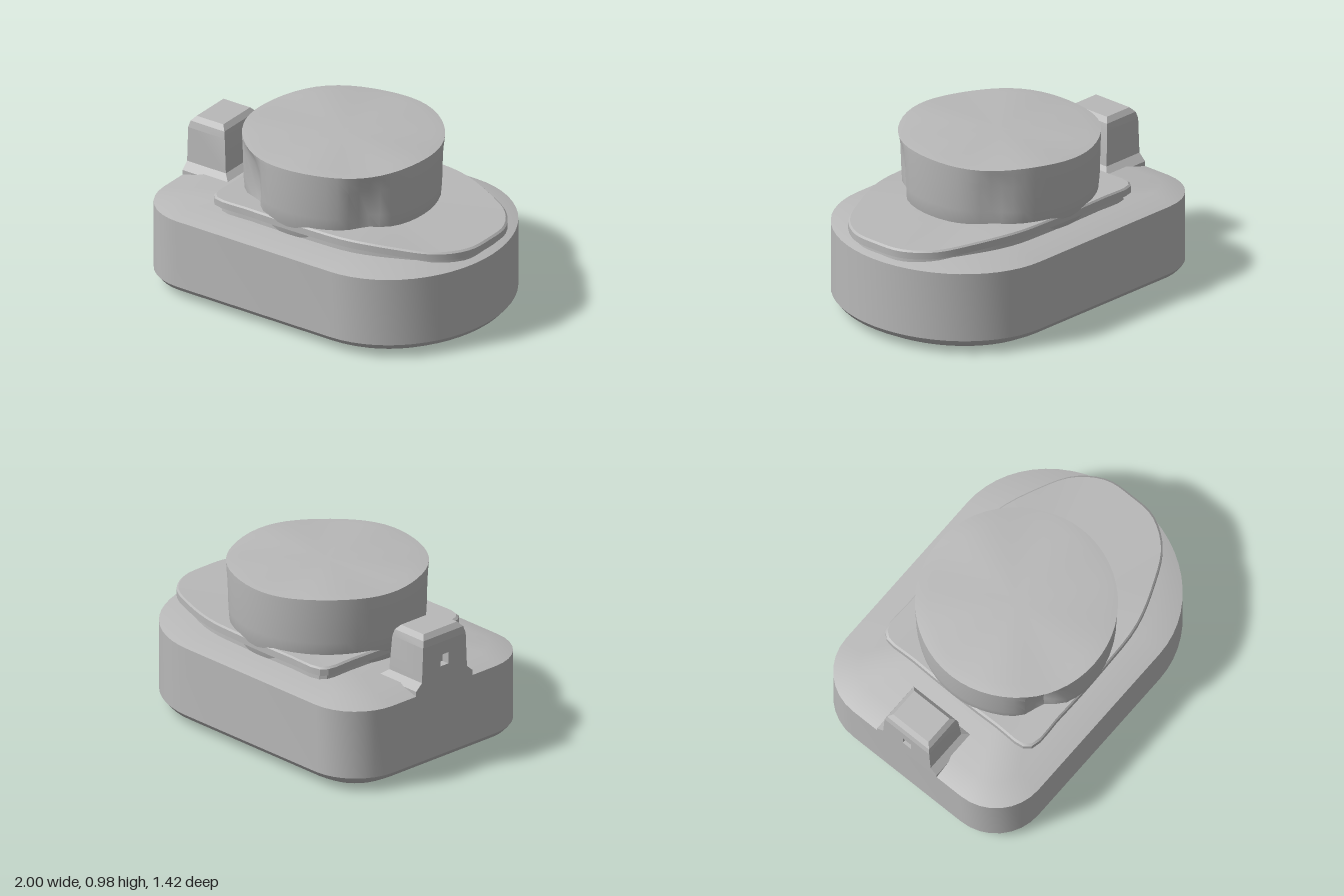
import * as THREE from 'three';
import { toCreasedNormals } from 'three/addons/utils/BufferGeometryUtils.js';

const grey = new THREE.MeshStandardMaterial({ color: 0xb8b8b8 });
grey.name = 'plain grey';

// Skin a stack of equal-length rings (each point is [x, y, z]) from bottom to top.
function loft(rings, { bottom = true, top = true, crease = 0.5 } = {}) {
  const pos = [];
  const tri = (a, b, c) => pos.push(...a, ...b, ...c);
  const centre = (r) => [0, 1, 2].map((k) => r.reduce((s, p) => s + p[k], 0) / r.length);
  const n = rings[0].length;
  const first = rings[0], last = rings[rings.length - 1];
  const cb = centre(first), ct = centre(last);
  for (let i = 0; i < n; i++) {
    const j = (i + 1) % n;
    for (let k = 0; k + 1 < rings.length; k++) {
      const a = rings[k], b = rings[k + 1];
      tri(a[i], b[i], b[j]);
      tri(a[i], b[j], a[j]);
    }
    if (bottom) tri(cb, first[i], first[j]);
    if (top) tri(ct, last[j], last[i]);
  }
  const g = new THREE.BufferGeometry();
  g.setAttribute('position', new THREE.Float32BufferAttribute(pos, 3));
  return toCreasedNormals(g, crease);
}

// Base outline: elliptical nose at +x, two rounded corners at -x.
function baseOutline(inset) {
  const pts = [];
  const arc = (cx, cz, rx, rz, from, to, n) => {
    for (let i = 0; i <= n; i++) {
      const t = from + ((to - from) * i) / n;
      pts.push([cx + rx * Math.cos(t), cz + rz * Math.sin(t)]);
    }
  };
  const q = Math.PI / 2, r = 0.31 - inset;
  arc(0.38, 0, 0.62 - inset, 0.71 - inset, -q, q, 28);
  arc(-0.69, 0.4, r, r, q, 2 * q, 8);
  arc(-0.69, -0.4, r, r, 2 * q, 3 * q, 8);
  return pts;
}

// Inward-facing box with one face left open (0 = -x, 3 = bottom).
function pocket(w, h, d, open) {
  const g = new THREE.BoxGeometry(w, h, d);
  g.scale(-1, 1, 1);
  g.setIndex(Array.from(g.index.array).filter((_, i) => Math.floor(i / 6) !== open));
  g.clearGroups();
  g.computeVertexNormals();
  return g;
}

function rectangle(x0, x1, z0, z1, Type = THREE.Path) {
  const p = [[x0, z0], [x1, z0], [x1, z1], [x0, z1]];
  return new Type(p.map(([x, y]) => new THREE.Vector2(x, y)));
}

export function createModel() {
  const model = new THREE.Group();
  const add = (name, geometry, x = 0, y = 0, z = 0) => {
    const mesh = new THREE.Mesh(geometry, grey);
    mesh.name = name;
    mesh.position.set(x, y, z);
    model.add(mesh);
  };

  // Body with rounded lower edge and gently rising deck
  const baseLevels = [[0.15, 0], [0.1, 0.012], [0.03, 0.05], [0, 0.085], [0, 0.5], [0.14, 0.54]];
  add('base', loft(
    baseLevels.map(([inset, y]) => baseOutline(inset).map(([x, z]) => [x, y, z])),
    { bottom: false },
  ));

  // Underside with a narrow slot
  const under = new THREE.Shape(baseOutline(0.15).map(([x, z]) => new THREE.Vector2(x, z)));
  under.holes.push(rectangle(-0.8, -0.72, -0.17, 0.17));
  add('underside', new THREE.ShapeGeometry(under).rotateX(Math.PI / 2));
  add('undersideSlot', pocket(0.08, 0.12, 0.34, 3), -0.76, 0.06, 0);

  // Collar plate: overhanging slab on a narrower neck, sloping down to the nose
  const half = [[0.97, 0.17], [0.86, 0.33], [0.66, 0.44], [0.4, 0.53], [0.1, 0.55],
    [-0.3, 0.55], [-0.56, 0.53], [-0.58, 0.3]];
  const ctrl = [[0.985, 0], ...half, ...half.map(([x, z]) => [x, -z]).reverse()];
  const outline = new THREE.CatmullRomCurve3(
    ctrl.map(([x, z]) => new THREE.Vector3(x, 0, z)), true,
  ).getPoints(64).slice(0, -1);
  const collarTop = (x) => 0.63 - 0.03 * THREE.MathUtils.smoothstep(x, 0.4, 0.98);
  const collarLevels = [[0.96, -0.13], [0.95, -0.06], [1, -0.05], [1, -0.01], [0.985, 0]];
  add('collarPlate', loft(collarLevels.map(([s, dy]) => outline.map((p) =>
    [0.2 + (p.x - 0.2) * s, collarTop(p.x) + dy, p.z * s]))));

  // Drum with slight dents in its wall and a faintly uneven rim
  const dents = [[0.7, 0.05], [-0.7, 0.025], [2.15, 0.07]];
  const drumLevels = [[0.53, 0.53, 0], [0.56, 0.62, 0.7], [0.568, 0.7, 1], [0.572, 0.86, 0.8],
    [0.575, 0.94, 0.2], [0.575, 0.968, 0], [0.5, 0.977, 0]];
  const sides = 56;
  add('drum', loft(drumLevels.map(([r, y, dent], level) =>
    Array.from({ length: sides }, (_, i) => {
      const t = (i / sides) * Math.PI * 2;
      let radius = r;
      for (const [at, depth] of dents) {
        const d = Math.atan2(Math.sin(t - at), Math.cos(t - at));
        radius -= dent * depth * Math.exp(-((d / 0.16) ** 2));
      }
      const wave = level >= 5 ? 0.005 * Math.sin(5 * t + 1) : 0;
      return [-0.035 + radius * Math.cos(t), y + wave, radius * Math.sin(t)];
    }))));

  // Post at the square end, with flared foot and bevelled cap
  const postLevels = [[-0.95, -0.68, 0.22, 0.48], [-0.95, -0.68, 0.22, 0.53],
    [-0.95, -0.73, 0.175, 0.57], [-0.95, -0.745, 0.165, 0.78], [-1, -0.745, 0.165, 0.78],
    [-0.99, -0.755, 0.155, 0.82], [-0.965, -0.78, 0.13, 0.848]];
  add('post', loft(postLevels.map(([x0, x1, w, y]) =>
    [[x1, y, -w], [x1, y, w], [x0, y, w], [x0, y, -w]]), { crease: 0.2 }));

  // Outer face of the post, pierced by a small square notch
  const side = [[0.22, 0.5], [0.22, 0.53], [0.175, 0.57], [0.165, 0.78]];
  const face = new THREE.Shape([...side, ...side.map(([z, y]) => [-z, y]).reverse()]
    .map(([z, y]) => new THREE.Vector2(z, y)));
  face.holes.push(rectangle(-0.03, 0.03, 0.63, 0.7));
  const faceGeometry = new THREE.ExtrudeGeometry(face, { depth: 0.05, bevelEnabled: false });
  add('postOuterFace', faceGeometry.rotateY(-Math.PI / 2), -0.95, 0, 0);

  return model;
}
